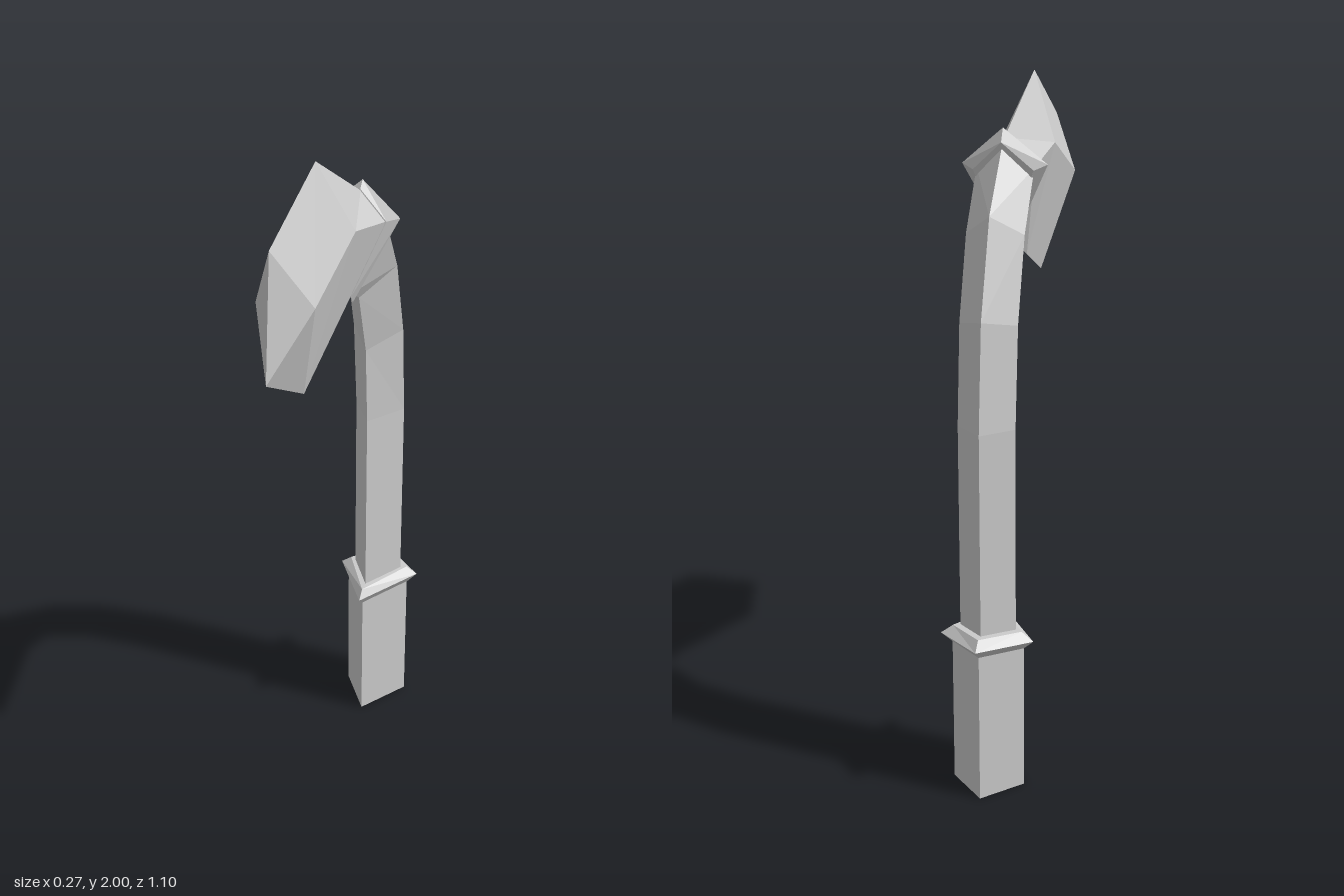
import * as THREE from 'three';

const material = new THREE.MeshStandardMaterial({ color: 0xcccccc, flatShading: true });

// Diamond cross-section: half width, then [z, y] of the inner edge, side edges and outer edge
function diamond(w, inner, side, outer) {
  const p = (x, [z, y]) => new THREE.Vector3(x, y, z);
  return [p(0, inner), p(w, side), p(0, outer), p(-w, side)];
}

// Skin a list of diamond sections and close both ends
function loft(name, sections) {
  const rings = sections.map((s) => diamond(...s));
  const positions = [];
  const tri = (a, b, c) => {
    if (new THREE.Triangle(a, b, c).getArea() < 1e-7) return;
    for (const v of [a, b, c]) positions.push(v.x, v.y, v.z);
  };
  for (let i = 0; i < rings.length - 1; i++) {
    const lo = rings[i], hi = rings[i + 1];
    for (let k = 0; k < 4; k++) {
      const n = (k + 1) % 4;
      // split mirrored pairs the same way on both sides
      if (k < 2) {
        tri(lo[k], lo[n], hi[k]);
        tri(lo[n], hi[n], hi[k]);
      } else {
        tri(lo[k], lo[n], hi[n]);
        tri(lo[k], hi[n], hi[k]);
      }
    }
  }
  const s = rings[0], e = rings[rings.length - 1];
  tri(s[0], s[2], s[1]);
  tri(s[0], s[3], s[2]);
  tri(e[0], e[1], e[2]);
  tri(e[0], e[2], e[3]);
  const geometry = new THREE.BufferGeometry();
  geometry.setAttribute('position', new THREE.Float32BufferAttribute(positions, 3));
  geometry.computeVertexNormals();
  const mesh = new THREE.Mesh(geometry, material);
  mesh.name = name;
  return mesh;
}

export function createModel() {
  const model = new THREE.Group();
  model.name = 'hookedClub';
  model.add(
    // thicker grip at the foot
    loft('grip', [
      [0.105, [-0.24, 0], [-0.405, 0], [-0.51, 0]],
      [0.105, [-0.24, 0.44], [-0.405, 0.45], [-0.51, 0.46]],
    ]),
    // slightly tilted collar above the grip
    loft('gripCollar', [
      [0.105, [-0.24, 0.428], [-0.408, 0.436], [-0.512, 0.445]],
      [0.135, [-0.205, 0.455], [-0.42, 0.465], [-0.545, 0.474]],
      [0.1, [-0.235, 0.482], [-0.415, 0.49], [-0.515, 0.5]],
    ]),
    // shaft curving forward
    loft('shaft', [
      [0.081, [-0.27, 0.46], [-0.405, 0.46], [-0.487, 0.46]],
      [0.081, [-0.27, 1.08], [-0.405, 1.08], [-0.487, 1.08]],
      [0.081, [-0.25, 1.325], [-0.375, 1.36], [-0.455, 1.38]],
      [0.081, [-0.18, 1.517], [-0.297, 1.59], [-0.36, 1.645]],
      [0.081, [-0.125, 1.55], [-0.18, 1.755], [-0.2, 1.835]],
    ]),
    // collar where the shaft meets the head
    loft('headCollar', [
      [0.085, [-0.148, 1.528], [-0.207, 1.75], [-0.228, 1.825]],
      [0.12, [-0.122, 1.521], [-0.187, 1.765], [-0.206, 1.863]],
      [0.085, [-0.106, 1.544], [-0.168, 1.757], [-0.185, 1.84]],
    ]),
    // wedge-shaped head ending in an upright cutting edge
    loft('head', [
      [0.081, [-0.115, 1.55], [-0.175, 1.755], [-0.188, 1.835]],
      [0.081, [0.085, 1.4725], [0.095, 1.8], [0.182, 2]],
      [0.081, [0.285, 1.395], [0.41, 1.687], [0.51, 1.857]],
      [0, [0.55, 1.52], [0.51, 1.857], [0.51, 1.857]],
    ]),
  );
  return model;
}
